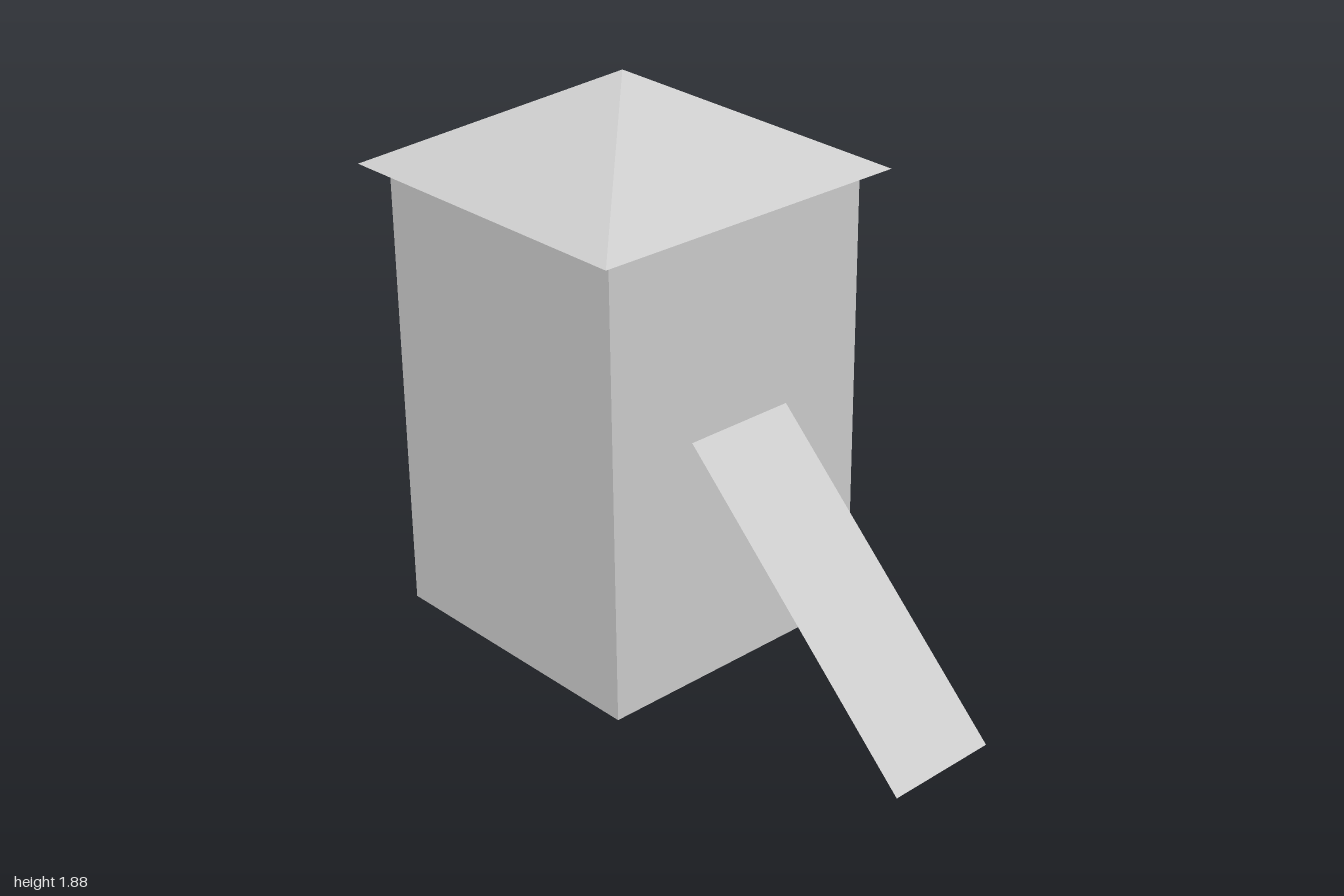
import * as THREE from 'three';

const CENTER_Z = -0.41; // tower axis
const WALL_HALF = 0.52, WALL_H = 1.57;
const ROOF_HALF = 0.59, ROOF_H = 0.315;

// Open four-sided shell with sides square to the axes
function squareShell(topHalf, bottomHalf, height) {
  const g = new THREE.CylinderGeometry(
    topHalf * Math.SQRT2, bottomHalf * Math.SQRT2, height, 4, 1, true, Math.PI / 4);
  return g.translate(0, height / 2, 0);
}

export function createModel() {
  const model = new THREE.Group();
  model.name = 'tower';

  const grey = new THREE.MeshStandardMaterial({
    color: 0xcccccc, flatShading: true, side: THREE.DoubleSide });
  grey.name = 'light grey';

  const add = (name, geometry, x, y, z) => {
    const mesh = new THREE.Mesh(geometry, grey);
    mesh.name = name;
    mesh.position.set(x, y, z);
    model.add(mesh);
    return mesh;
  };

  // Hollow walls, open at the bottom
  add('walls', squareShell(WALL_HALF, WALL_HALF, WALL_H), 0, 0, CENTER_Z);

  // Pyramid roof with open eaves
  add('roof', squareShell(0, ROOF_HALF, ROOF_H), 0, WALL_H, CENTER_Z);

  // Thin ramp leaning on the front wall
  const top = { y: 0.865, z: 0.115 }, foot = { y: 0.01, z: 1 };
  const rise = top.y - foot.y, run = foot.z - top.z;
  const ramp = add('ramp', new THREE.PlaneGeometry(0.405, Math.hypot(rise, run)),
    0, (top.y + foot.y) / 2, (top.z + foot.z) / 2);
  ramp.rotation.x = -Math.atan2(run, rise);

  return model;
}
